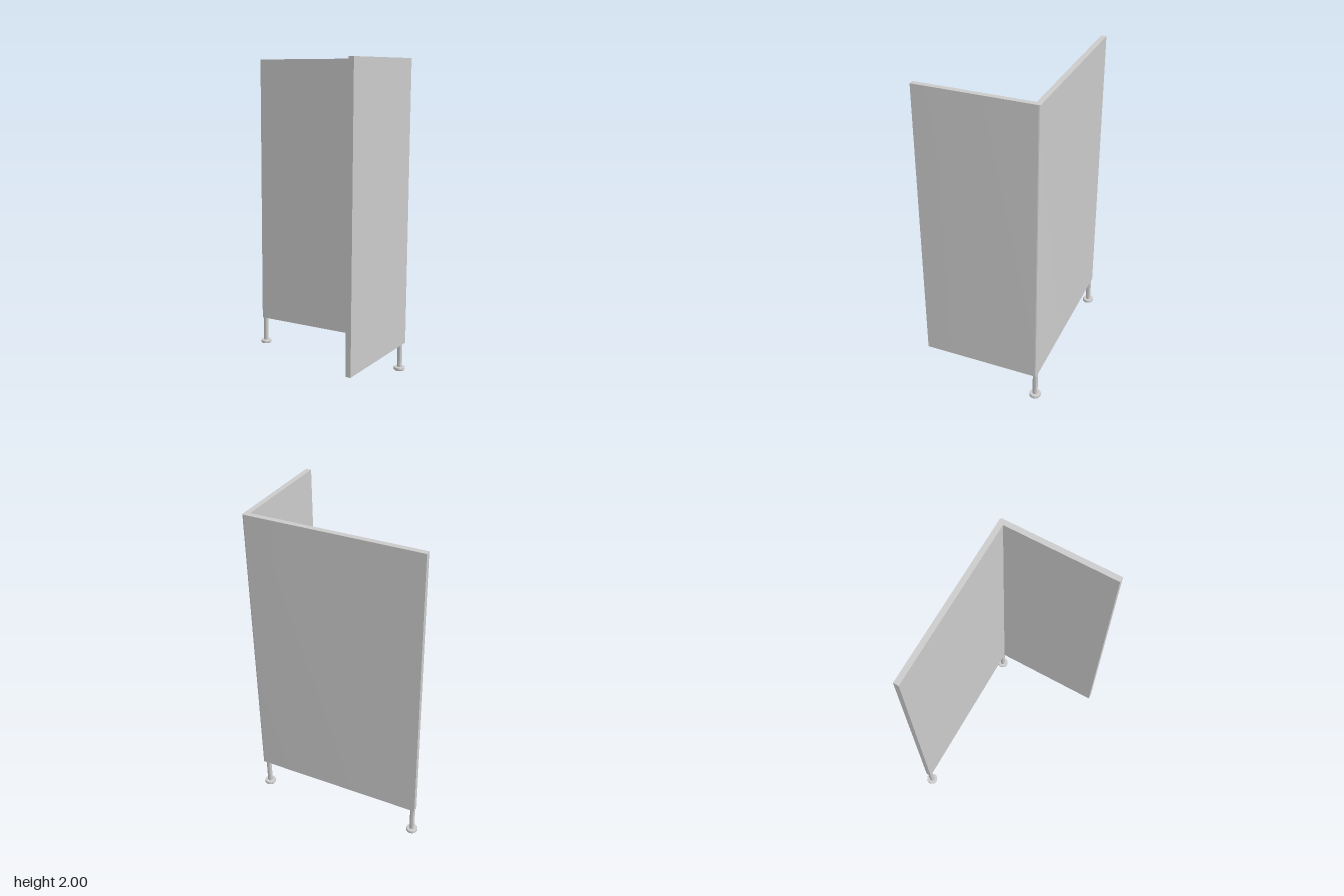
import * as THREE from 'three';
import { toCreasedNormals } from 'three/addons/utils/BufferGeometryUtils.js';

const material = new THREE.MeshStandardMaterial({ color: 0xcccccc });

function addMesh(parent, name, geometry) {
  const mesh = new THREE.Mesh(toCreasedNormals(geometry, 0.6), material);
  mesh.name = name;
  parent.add(mesh);
  return mesh;
}

// L-shaped screen: long back wall and shorter side wall, eased outer corner
function screenGeometry() {
  const left = -0.545, right = 0.56, back = 0.365, front = -0.38;
  const thickness = 0.034, ease = 0.011, bottom = 0.185, top = 2;
  const plan = new THREE.Shape();
  plan.moveTo(left, back - thickness);
  plan.lineTo(right - thickness, back - thickness);
  plan.lineTo(right - thickness, front);
  plan.lineTo(right, front);
  plan.lineTo(right, back - ease);
  plan.absarc(right - ease, back - ease, ease, 0, Math.PI / 2, false);
  plan.lineTo(left, back);
  plan.closePath();
  const geometry = new THREE.ExtrudeGeometry(plan, { depth: top - bottom, bevelEnabled: false, curveSegments: 6 });
  geometry.rotateX(-Math.PI / 2);
  geometry.translate(0, bottom, 0);
  return geometry;
}

// Slim post on a round foot
function createLeg() {
  const leg = new THREE.Group();
  const post = new THREE.CylinderGeometry(0.016, 0.016, 0.17, 32);
  post.translate(0, 0.105, 0);
  addMesh(leg, 'legPost', post);
  const profile = [[0, 0], [0.033, 0], [0.036, 0.004], [0.036, 0.018], [0.034, 0.021], [0, 0.021]]
    .map(([r, y]) => new THREE.Vector2(r, y));
  addMesh(leg, 'legFoot', new THREE.LatheGeometry(profile, 40));
  return leg;
}

export function createModel() {
  const model = new THREE.Group();
  model.name = 'cornerScreen';
  addMesh(model, 'screenWalls', screenGeometry());

  // Legs under both ends of the back wall
  for (const side of [-1, 1]) {
    const leg = createLeg();
    leg.name = side < 0 ? 'rightLeg' : 'leftLeg';
    leg.position.set(side * 0.527, 0, -0.347);
    model.add(leg);
  }
  return model;
}
